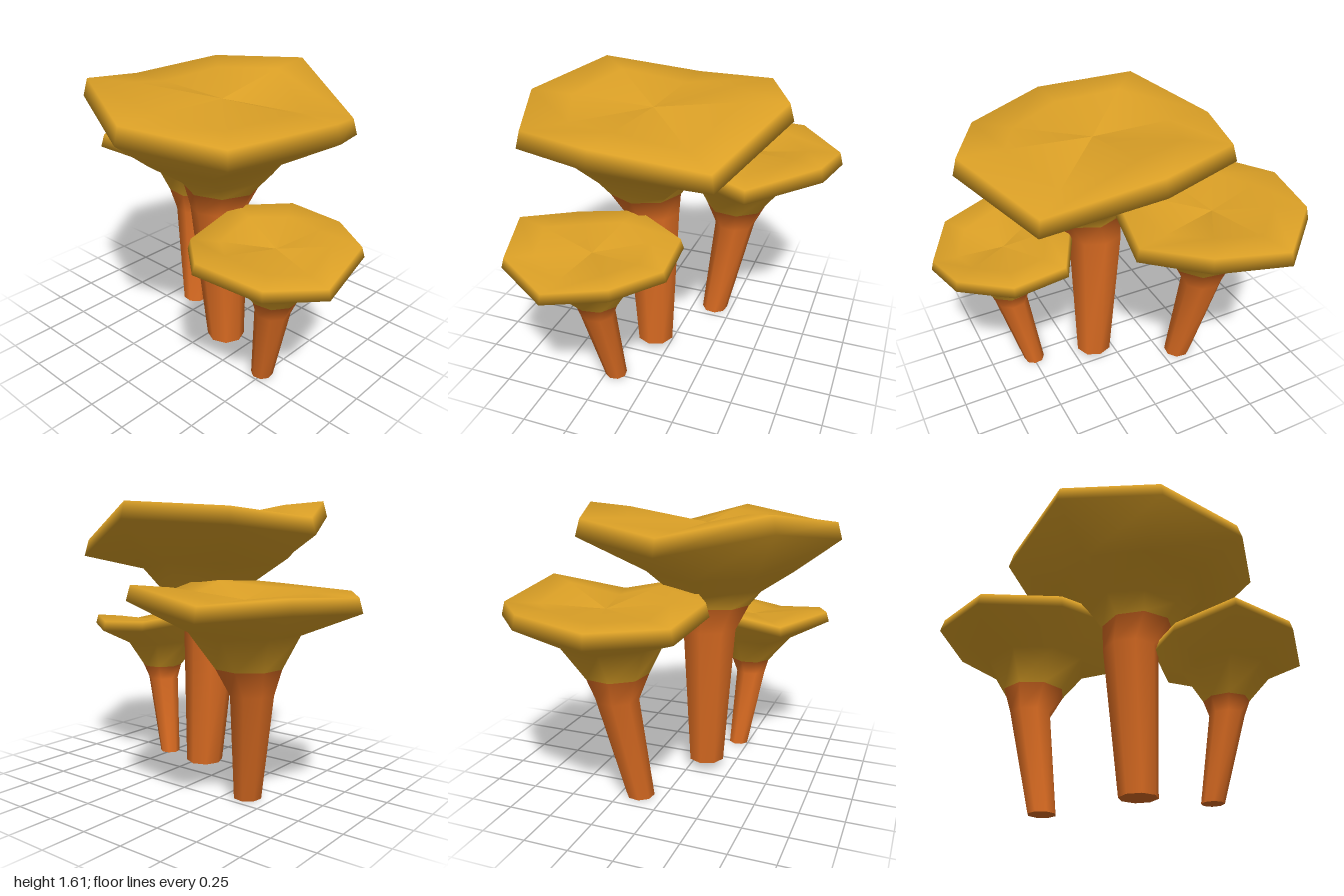
import * as THREE from 'three';

const SIDES = 8;

const stemOrange = new THREE.MeshStandardMaterial({ color: 0xdb6c22 });
stemOrange.name = 'stemOrange';
const capOchre = new THREE.MeshStandardMaterial({ color: 0xdba026 });
capOchre.name = 'capOchre';

// Each stem/flare ring is [x, y, z, radius], from the ground up.
// Each rim point is [x, upperY, z], running from the +x side round through the front.
const MUSHROOMS = [
  {
    name: 'tallMushroom',
    stem: [[0.125, 0.055, 0.09, 0.108], [0.09, 0.9, 0.11, 0.16], [0.13, 1.04, 0.13, 0.205]],
    flare: [[0.12, 1.12, 0.13, 0.275], [0.09, 1.25, 0.16, 0.43]],
    rim: [[0.85, 1.53, 0.115], [0.62, 1.48, 0.615], [0.125, 1.53, 0.83], [-0.4, 1.615, 0.6],
      [-0.63, 1.51, 0.07], [-0.455, 1.56, -0.435], [0.065, 1.59, -0.645], [0.61, 1.39, -0.405]],
    thickness: 0.09, dishY: 1.5,
  },
  {
    name: 'mediumMushroom',
    stem: [[-0.36, 0.003, -0.14, 0.08], [-0.445, 0.61, -0.23, 0.122], [-0.43, 0.75, -0.24, 0.182]],
    flare: [[-0.42, 0.925, -0.27, 0.3]],
    rim: [[0.1, 1.09, -0.42], [0.04, 1.19, 0], [-0.32, 1.15, 0.25], [-0.78, 1.13, 0.235],
      [-1, 1.13, -0.115], [-0.885, 1.15, -0.555], [-0.565, 1.12, -0.84], [-0.11, 1.19, -0.795]],
    thickness: 0.075, dishY: 1.1,
  },
  {
    name: 'smallMushroom',
    stem: [[0.495, 0.015, 0.19, 0.061], [0.59, 0.49, 0.235, 0.095], [0.595, 0.575, 0.23, 0.125]],
    flare: [[0.6, 0.725, 0.25, 0.245]],
    rim: [[1, 0.83, 0.33], [0.84, 0.885, 0.63], [0.505, 0.94, 0.73], [0.24, 0.89, 0.5],
      [0.22, 0.95, 0.13], [0.38, 0.91, -0.18], [0.69, 0.89, -0.2], [0.95, 0.9, -0.02]],
    thickness: 0.055, dishY: 0.865,
  },
];

// Joins a stack of eight-point rings into one smooth skin, stem first and cap after.
function createMushroom({ name, stem, flare, rim, thickness, dishY }) {
  const cx = rim.reduce((s, p) => s + p[0], 0) / SIDES;
  const cz = rim.reduce((s, p) => s + p[2], 0) / SIDES;
  const start = Math.atan2(rim[0][2] - cz, rim[0][0] - cx);

  const circle = ([x, y, z, r], tilt) => rim.map((p, j) => {
    const a = start + (j / SIDES) * Math.PI * 2;
    return [x + r * Math.cos(a), y + tilt * (p[1] - dishY), z + r * Math.sin(a)];
  });
  const shrunkRim = (scale, lift) => rim.map(([x, y, z]) =>
    [cx + (x - cx) * scale, dishY + (y - dishY) * lift, cz + (z - cz) * scale]);
  const point = (x, y, z) => rim.map(() => [x, y, z]);

  const [bx, by, bz] = stem[0];
  const rings = [
    ...stem.map((s) => circle(s, 0)),
    ...flare.map((f) => circle(f, 0.25)),
    rim.map(([x, y, z]) => [x, y - thickness, z]),
    shrunkRim(0.965, 1),
    shrunkRim(0.63, 0.8),
    point(cx, dishY, cz),
    // Flat foot, kept apart so its edge stays sharp
    point(bx, by, bz),
    circle(stem[0], 0),
  ];

  const stemIndex = [];
  const capIndex = [];
  const join = (list, i) => {
    for (let j = 0; j < SIDES; j++) {
      const k = (j + 1) % SIDES;
      const a = i * SIDES + j, b = i * SIDES + k;
      const d = a + SIDES, c = b + SIDES;
      list.push(a, d, b, d, c, b);
    }
  };
  const foot = rings.length - 2;
  for (let i = 0; i < foot - 1; i++) join(i < stem.length - 1 ? stemIndex : capIndex, i);
  join(stemIndex, foot);

  const geometry = new THREE.BufferGeometry();
  geometry.setAttribute('position', new THREE.Float32BufferAttribute(rings.flat(2), 3));
  geometry.setIndex([...stemIndex, ...capIndex]);
  geometry.addGroup(0, stemIndex.length, 0);
  geometry.addGroup(stemIndex.length, capIndex.length, 1);
  geometry.computeVertexNormals();

  const mesh = new THREE.Mesh(geometry, [stemOrange, capOchre]);
  mesh.name = name;
  return mesh;
}

export function createModel() {
  const group = new THREE.Group();
  group.name = 'mushroomCluster';
  for (const spec of MUSHROOMS) group.add(createMushroom(spec));
  return group;
}
